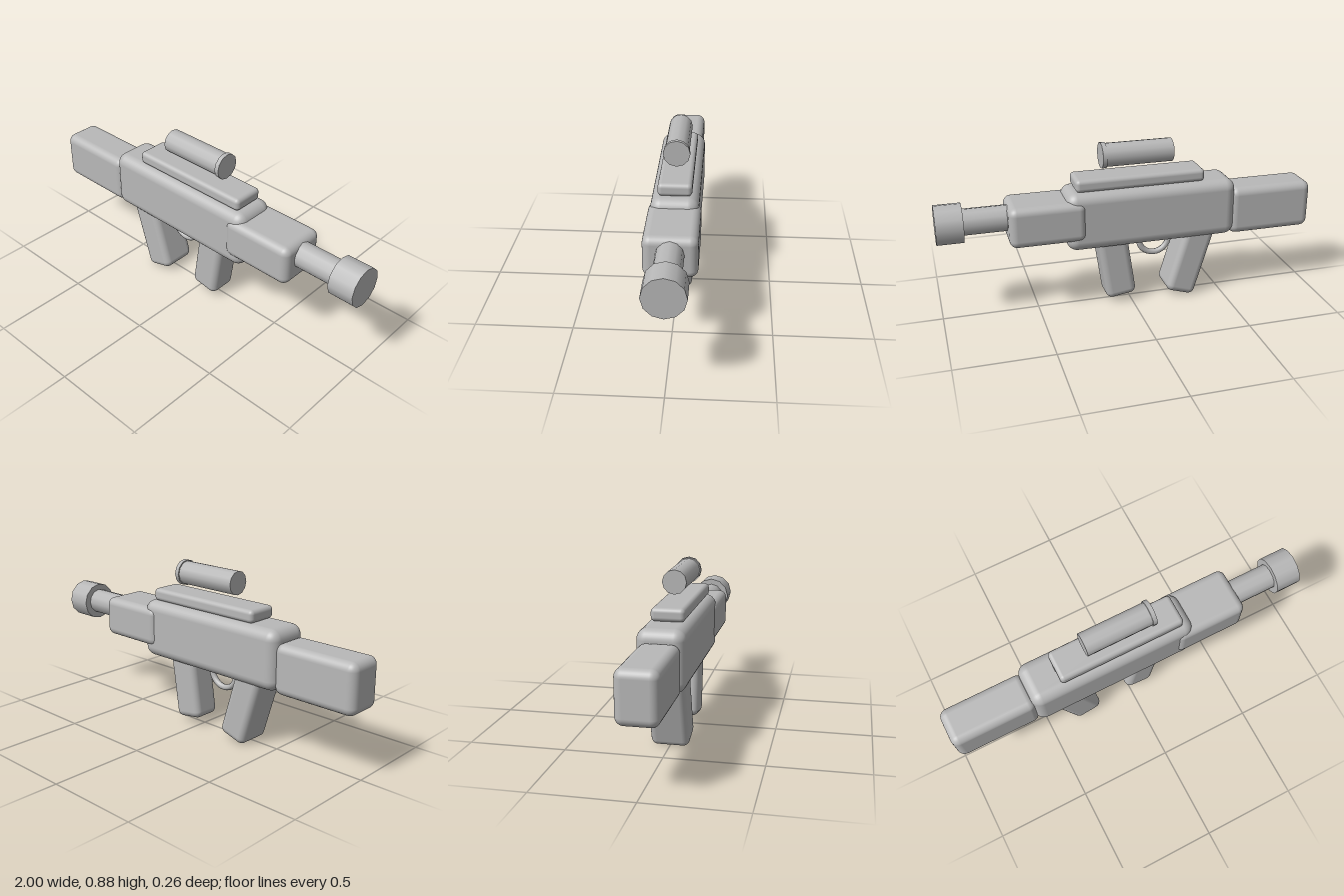
import * as THREE from 'three';
import { RoundedBoxGeometry } from 'three/addons/geometries/RoundedBoxGeometry.js';

const grey = new THREE.MeshStandardMaterial({ color: 0xb8b8b8 });
grey.name = 'plain grey';

export function createModel() {
  const model = new THREE.Group();
  model.name = 'toyBlaster';

  const add = (name, geometry, x, y, tilt = 0) => {
    const mesh = new THREE.Mesh(geometry, grey);
    mesh.name = name;
    mesh.position.set(x, y, 0);
    mesh.rotation.z = tilt;
    model.add(mesh);
  };

  // Rounded block given by its x and y ranges and its depth
  const block = (name, x0, x1, y0, y1, depth, radius) =>
    add(name, new RoundedBoxGeometry(x1 - x0, y1 - y0, depth, 4, radius), (x0 + x1) / 2, (y0 + y1) / 2);

  // Twelve-sided cylinder lying along x
  const rod = (name, x0, x1, y, radius) =>
    add(name, new THREE.CylinderGeometry(radius, radius, x1 - x0, 12).rotateZ(-Math.PI / 2), (x0 + x1) / 2, y);

  // Handle leaning by tilt, placed by the middle of its lower end
  const grip = (name, x, y, length, depth, tilt) =>
    add(name, new RoundedBoxGeometry(0.163, length, depth, 4, 0.035),
      x - Math.sin(tilt) * length / 2, y + Math.cos(tilt) * length / 2, tilt);

  // Main blocks
  block('body', -0.56, 0.35, 0.345, 0.656, 0.24, 0.055);
  block('stock', -1, -0.54, 0.338, 0.597, 0.204, 0.042);
  block('handguard', 0.25, 0.645, 0.405, 0.618, 0.262, 0.04);
  block('rail', -0.39, 0.297, 0.655, 0.722, 0.17, 0.022);

  // Barrel and sight
  rod('barrel', 0.55, 0.88, 0.535, 0.068);
  rod('muzzle', 0.863, 1, 0.533, 0.102);
  rod('scopeTube', -0.227, 0.13, 0.82, 0.062);
  rod('scopeRim', 0.127, 0.15, 0.82, 0.068);

  // Handles
  grip('rearGrip', -0.265, 0.021, 0.42, 0.196, THREE.MathUtils.degToRad(17));
  grip('frontGrip', 0.055, 0.04, 0.4, 0.16, THREE.MathUtils.degToRad(-8.5));

  // Half-ring under the body
  add('triggerGuard', new THREE.TorusGeometry(0.083, 0.016, 8, 16, Math.PI), -0.139, 0.33, Math.PI);

  return model;
}
